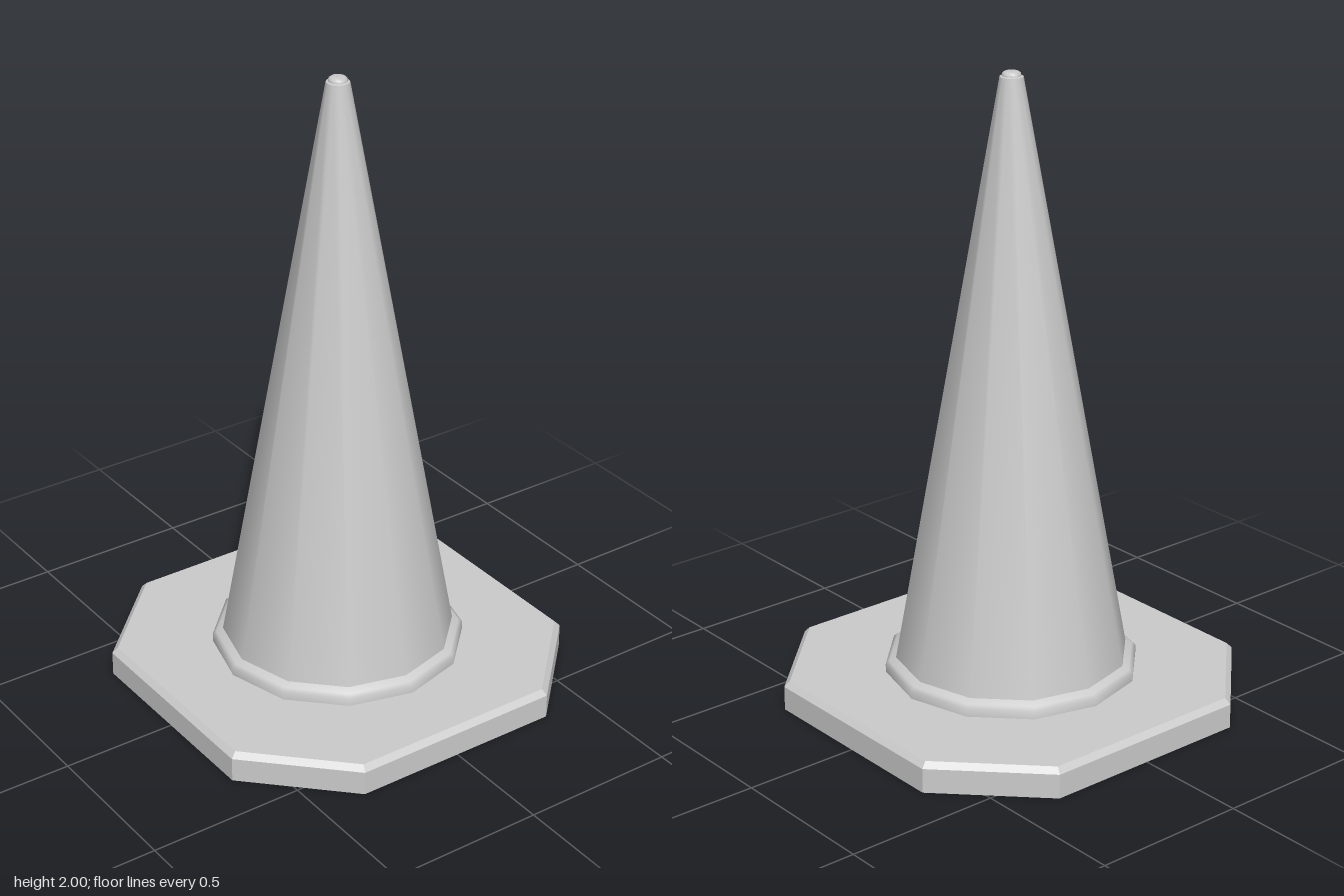
import * as THREE from 'three';

const material = new THREE.MeshStandardMaterial({ color: 0xcccccc });
const SIDES = 12;

// Turned part: smooth around, with a crease wherever a new part starts
function turned(name, profile) {
  const points = profile.map(([r, y]) => new THREE.Vector2(r, y));
  const mesh = new THREE.Mesh(new THREE.LatheGeometry(points, SIDES), material);
  mesh.name = name;
  return mesh;
}

// Square with cut corners: h is the half width, c the half length of a straight side
function octagon(h, c, y) {
  return [[c, h], [h, c], [h, -c], [c, -h], [-c, -h], [-h, -c], [-h, c], [-c, h]]
    .map(([x, z]) => [x, y, z]);
}

// Flat-shaded solid through stacked octagon rings, capped at both ends
function basePlate() {
  const rings = [octagon(0.632, 0.347, 0), octagon(0.632, 0.347, 0.078), octagon(0.615, 0.34, 0.096)];
  const top = rings[rings.length - 1];
  const bottom = rings[0];
  const positions = [];
  const triangle = (a, b, c) => positions.push(...a, ...b, ...c);
  for (let i = 0; i < 8; i++) {
    const j = (i + 1) % 8;
    for (let k = 0; k < rings.length - 1; k++) {
      const lower = rings[k], upper = rings[k + 1];
      triangle(lower[i], lower[j], upper[j]);
      triangle(lower[i], upper[j], upper[i]);
    }
    triangle(top[i], top[j], [0, top[0][1], 0]);
    triangle(bottom[j], bottom[i], [0, 0, 0]);
  }
  const geometry = new THREE.BufferGeometry();
  geometry.setAttribute('position', new THREE.Float32BufferAttribute(positions, 3));
  geometry.computeVertexNormals();
  const mesh = new THREE.Mesh(geometry, material);
  mesh.name = 'basePlate';
  return mesh;
}

export function createModel() {
  const group = new THREE.Group();
  group.name = 'trafficCone';

  group.add(basePlate());

  // Rounded collar where the cone meets the plate
  group.add(turned('collar', [[0.4, 0.09], [0.4, 0.122], [0.388, 0.132], [0.367, 0.143]]));

  // Tapering body
  group.add(turned('coneBody', [[0.367, 0.143], [0.036, 1.985]]));

  // Small stepped tip
  group.add(turned('tipShoulder', [[0.036, 1.985], [0.029, 1.987]]));
  group.add(turned('tipCap', [[0.029, 1.987], [0.028, 1.995], [0.021, 2], [0, 2]]));

  return group;
}
